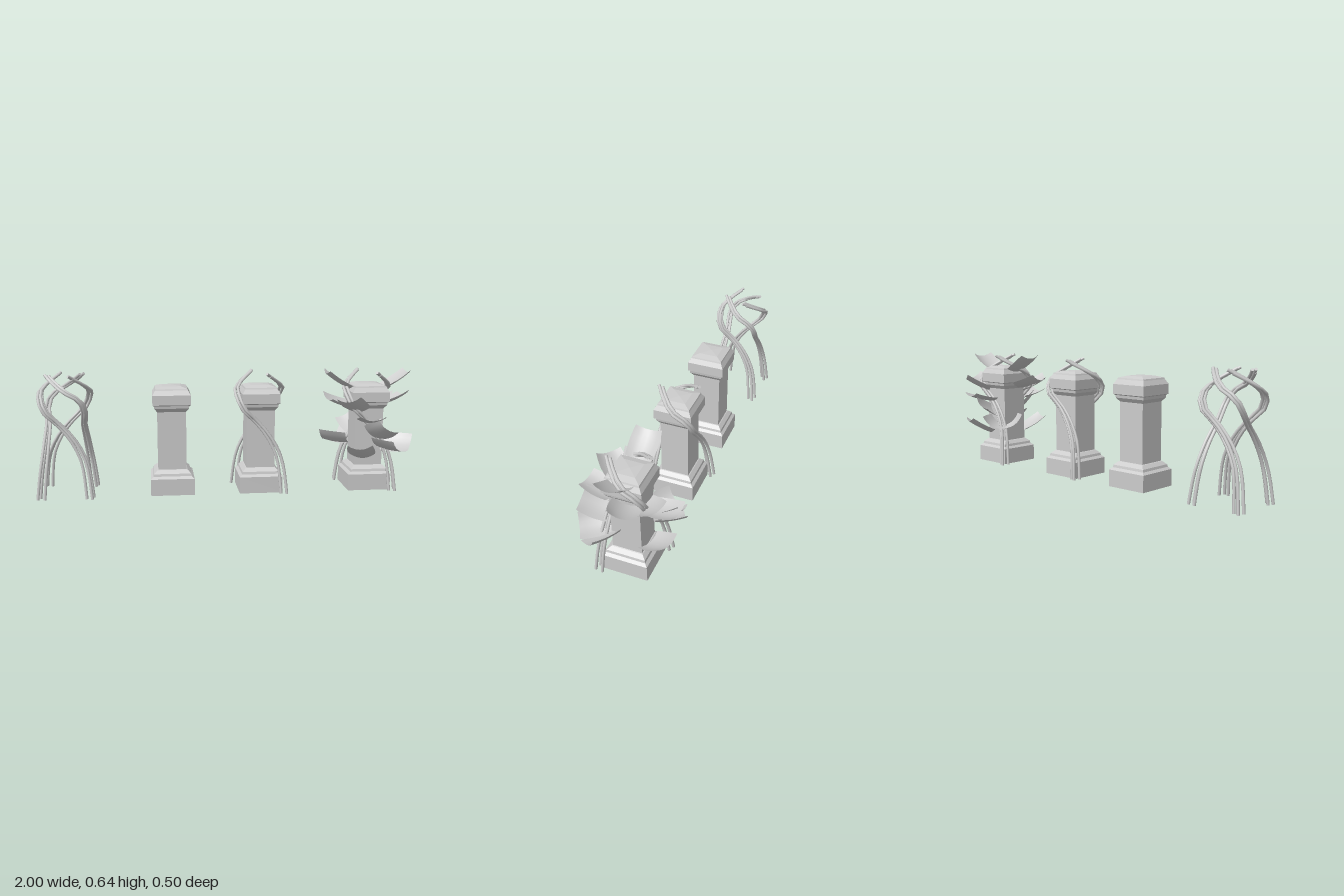
import * as THREE from 'three';

const grey = new THREE.MeshStandardMaterial({ color: 0xcccccc });
const greyFlat = new THREE.MeshStandardMaterial({ color: 0xcccccc, flatShading: true });
const greySheet = new THREE.MeshStandardMaterial({ color: 0xcccccc, side: THREE.DoubleSide });
const rad = THREE.MathUtils.degToRad;

// Square pillar: [half width, height] profile turned with four sides
function makePillar() {
  const profile = [
    [0, 0], [0.115, 0], [0.115, 0.088], [0.101, 0.1], [0.098, 0.113], [0.08, 0.13],
    [0.075, 0.132], [0.075, 0.44], [0.09, 0.46], [0.092, 0.474], [0.1, 0.479],
    [0.1, 0.53], [0.086, 0.554], [0.083, 0.562], [0.05, 0.572], [0, 0.576],
  ].map(([w, y]) => new THREE.Vector2(w * Math.SQRT2, y));
  const mesh = new THREE.Mesh(new THREE.LatheGeometry(profile, 4, Math.PI / 4), greyFlat);
  mesh.name = 'pillar';
  return mesh;
}

// Vine: three strands climbing from one foot, across a face, round a corner and over the cap
const vinePath = [
  [0.125, 0, 0.132], [0.112, 0.12, 0.12], [0.095, 0.2, 0.11], [0.045, 0.3, 0.1],
  [-0.025, 0.385, 0.095], [-0.09, 0.45, 0.106], [-0.116, 0.51, 0.085],
  [-0.12, 0.56, 0.01], [-0.085, 0.595, -0.04], [-0.035, 0.632, -0.085],
];
const strands = [
  { offset: [0.014, 0, -0.022], shift: 0.004 },
  { offset: [-0.021, 0, 0.004], shift: -0.012 },
  { offset: [0.008, 0, 0.015], shift: 0.0 },
];

function makeVine() {
  const vine = new THREE.Group();
  vine.name = 'vine';
  const radius = 0.008;
  for (const { offset, shift } of strands) {
    const last = vinePath.length - 1;
    const points = vinePath.map(([x, y, z], i) => {
      const spread = 1 - 0.45 * Math.min(1, i / 4);
      const rise = i > 4 ? shift * (i - 4) / (last - 4) : 0;
      return new THREE.Vector3(x + offset[0] * spread, y + rise, z + offset[2] * spread);
    });
    const curve = new THREE.CatmullRomCurve3(points, false, 'centripetal');
    const strand = new THREE.Mesh(new THREE.TubeGeometry(curve, 16, radius, 7), grey);
    strand.name = 'vineStrand';
    vine.add(strand);

    // Closed ends
    for (const t of [0, 1]) {
      const end = new THREE.Mesh(new THREE.CircleGeometry(radius, 7), greySheet);
      end.name = 'vineEnd';
      end.position.copy(curve.getPointAt(t));
      const direction = curve.getTangentAt(t).multiplyScalar(t ? 1 : -1);
      end.quaternion.setFromUnitVectors(new THREE.Vector3(0, 0, 1), direction);
      vine.add(end);
    }
  }
  return vine;
}

function addVines(parent, count) {
  for (let i = 0; i < count; i++) {
    const vine = makeVine();
    vine.rotation.y = i * 2 * Math.PI / count;
    parent.add(vine);
  }
}

// Leaf: cupped sheet pointing along +x, edges and tip curling up
function makeLeafGeometry(length = 0.15, width = 0.145) {
  const geometry = new THREE.PlaneGeometry(length, width, 6, 6);
  geometry.rotateX(-Math.PI / 2);
  const position = geometry.attributes.position;
  for (let i = 0; i < position.count; i++) {
    const u = position.getX(i) / length + 0.5;
    const v = 2 * position.getZ(i) / width;
    position.setXYZ(i, u * length, 0.022 * v * v + 0.02 * u * u - 0.012,
      position.getZ(i) * (0.9 + 0.1 * Math.sin(Math.PI * u)));
  }
  geometry.computeVertexNormals();
  return geometry;
}

// Each row: bearing from +x towards +z, base height, tilt up, roll; repeated half a turn away
const leafRows = [
  [0, 0.552, 25, 0],
  [-14, 0.455, 12, -12],
  [128, 0.435, 20, 10],
  [97, 0.38, 6, 0],
  [80, 0.305, 18, -36],
  [62, 0.25, -6, -30],
  [112, 0.185, 22, 4],
  [28, 0.25, -4, 34],
];

function addLeaves(parent) {
  const geometry = makeLeafGeometry();
  for (const [bearing, y, tilt, roll] of leafRows) {
    for (const turn of [0, 180]) {
      const leaf = new THREE.Mesh(geometry, greySheet);
      leaf.name = 'leaf';
      const angle = rad(bearing + turn);
      leaf.position.set(0.095 * Math.cos(angle), y, 0.1 * Math.sin(angle));
      leaf.rotation.set(rad(roll), -angle, rad(tilt), 'YZX');
      parent.add(leaf);
    }
  }
}

export function createModel() {
  const model = new THREE.Group();
  model.name = 'pillarSet';

  // Four stages side by side
  const stages = [
    { name: 'vinesOnly', x: -0.858, vines: 4 },
    { name: 'plainPillar', x: -0.307, pillar: true, vines: 0 },
    { name: 'vinePillar', x: 0.163, pillar: true, vines: 2 },
    { name: 'leafyPillar', x: 0.752, pillar: true, vines: 2, leaves: true },
  ];
  for (const stage of stages) {
    const group = new THREE.Group();
    group.name = stage.name;
    group.position.x = stage.x;
    if (stage.pillar) group.add(makePillar());
    addVines(group, stage.vines);
    if (stage.leaves) addLeaves(group);
    model.add(group);
  }
  return model;
}
